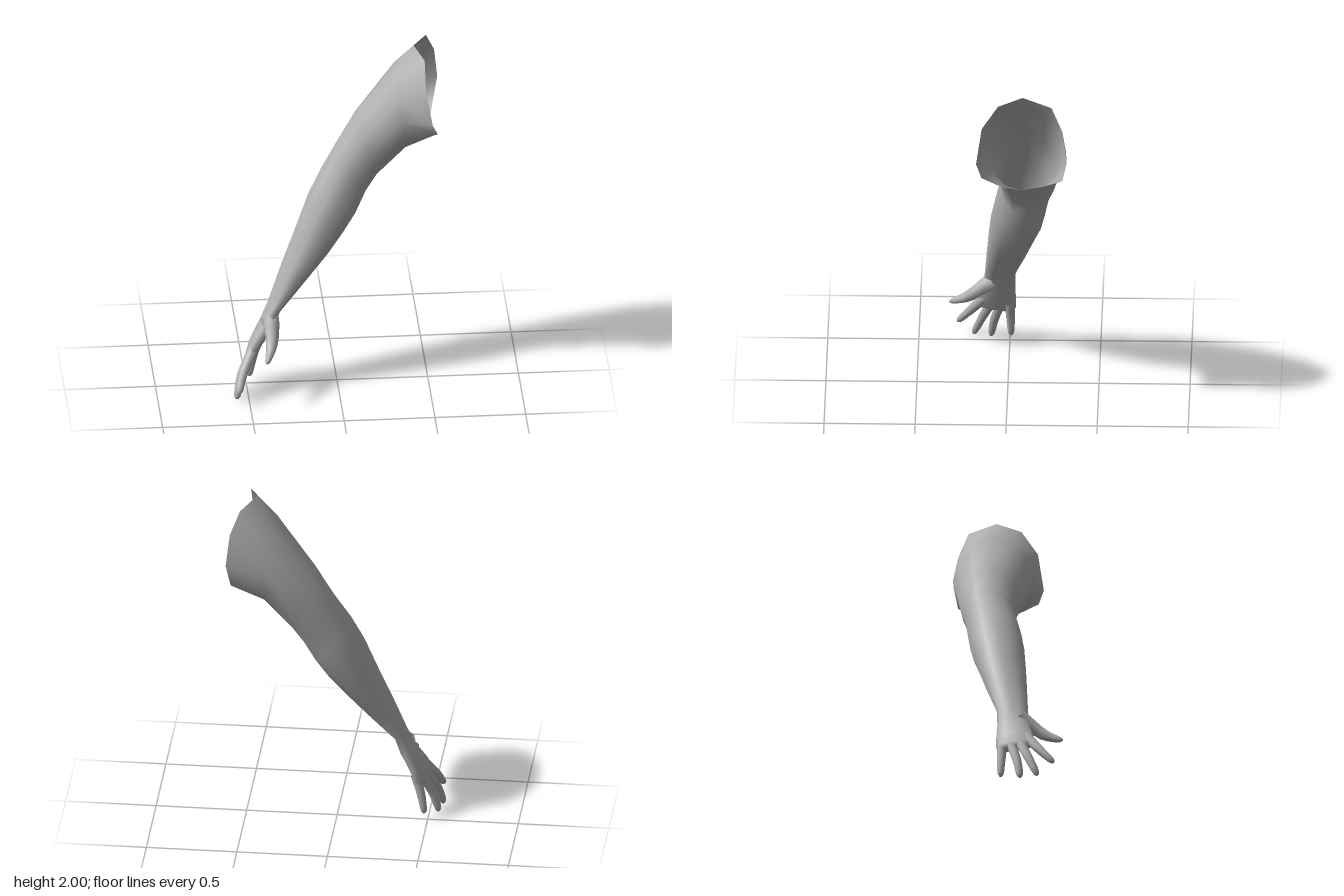
import * as THREE from 'three';

const V = (x, y, z) => new THREE.Vector3(x, y, z);
const SIDES = 12;

// Skin a list of closed rings (each an array of Vector3), optionally closing the last one
function loft(rings, cap) {
  const n = rings[0].length, pos = [], idx = [];
  rings.forEach(r => r.forEach(p => pos.push(p.x, p.y, p.z)));
  for (let i = 0; i < rings.length - 1; i++) {
    for (let k = 0; k < n; k++) {
      const a = i * n + k, b = i * n + (k + 1) % n, c = a + n, d = b + n;
      idx.push(a, c, b, b, c, d);
    }
  }
  if (cap) {
    const last = rings[rings.length - 1], base = (rings.length - 1) * n;
    const mid = last.reduce((s, p) => s.add(p), V(0, 0, 0)).divideScalar(n);
    pos.push(mid.x, mid.y, mid.z);
    for (let k = 0; k < n; k++) idx.push(base + k, rings.length * n, base + (k + 1) % n);
  }
  const g = new THREE.BufferGeometry();
  g.setAttribute('position', new THREE.Float32BufferAttribute(pos, 3));
  g.setIndex(idx);
  g.computeVertexNormals();
  return g;
}

// Limb ring from its outer point, inner point, front and back z; tilt slants x across z
function limbRing([ox, oy, ix, iy, zf, zb, tilt = 0]) {
  const ring = [], zc = (zf + zb) / 2;
  for (let k = 0; k < SIDES; k++) {
    const a = k / SIDES * Math.PI * 2, c = Math.cos(a) / 2, dz = Math.sin(a) * (zf - zb) / 2;
    ring.push(V((ox + ix) / 2 + (ox - ix) * c + tilt * dz, (oy + iy) / 2 + (oy - iy) * c, zc + dz));
  }
  return ring;
}

// Tapered finger along a curve with a rounded tip
function finger(points, r0, r1) {
  const curve = new THREE.CatmullRomCurve3(points.map(p => V(...p)));
  const rings = [[0, 1], [0.2, 1], [0.4, 1], [0.55, 1.04], [0.7, 1], [0.85, 1], [0.95, 0.85], [1, 0.45]]
    .map(([t, s]) => {
      const p = curve.getPointAt(t), d = curve.getTangentAt(t);
      const v = V(0, 0, 1).addScaledVector(d, -d.z).normalize();
      const u = d.clone().cross(v);
      const r = s * (r0 + (r1 - r0) * t);
      return Array.from({ length: 8 }, (_, k) => {
        const a = k / 8 * Math.PI * 2;
        return p.clone().addScaledVector(u, Math.cos(a) * r).addScaledVector(v, Math.sin(a) * r);
      });
    });
  return loft(rings, true);
}

export function createModel() {
  const skin = new THREE.MeshStandardMaterial({ color: 0xb0b0b0, side: THREE.DoubleSide });
  skin.name = 'greySkin';
  const model = new THREE.Group();
  model.name = 'arm';
  const add = (name, geometry, parent) => {
    const m = new THREE.Mesh(geometry, skin);
    m.name = name;
    parent.add(m);
  };

  // Uneven open edge at the shoulder
  const shoulder = [
    [0.43, 2.0, -0.09], [0.48, 1.97, 0.045], [0.48, 1.83, 0.135], [0.515, 1.63, 0.165],
    [0.545, 1.56, 0.135], [0.53, 1.5, 0.03], [0.515, 1.47, -0.085], [0.53, 1.5, -0.2],
    [0.555, 1.55, -0.31], [0.58, 1.68, -0.335], [0.56, 1.86, -0.31], [0.51, 1.98, -0.25],
  ].map(p => V(...p));

  // Upper arm, elbow, forearm, wrist and palm as one skin
  const sections = [
    [0.33, 1.87, 0.38, 1.39, 0.115, -0.325],
    [0.11, 1.58, 0.23, 1.22, 0.05, -0.28],
    [0.0, 1.40, 0.175, 1.13, 0.035, -0.24],
    [-0.09, 1.25, 0.115, 1.01, 0.075, -0.22],
    [-0.16, 1.11, 0.045, 0.905, 0.095, -0.2],
    [-0.24, 0.9, -0.045, 0.79, 0.11, -0.15],
    [-0.31, 0.72, -0.17, 0.645, 0.122, -0.1],
    [-0.385, 0.51, -0.315, 0.48, 0.135, -0.035],
    [-0.435, 0.405, -0.35, 0.385, 0.145, -0.032, -0.1],
    [-0.485, 0.31, -0.405, 0.295, 0.17, -0.035, -0.2],
    [-0.505, 0.245, -0.44, 0.225, 0.185, -0.035, -0.25],
    [-0.495, 0.215, -0.46, 0.205, 0.165, -0.02, -0.25],
  ];
  add('armAndPalm', loft([shoulder, ...sections.map(limbRing)], true), model);

  // Fingers and thumb: path, root radius, tip radius
  const hand = new THREE.Group();
  hand.name = 'fingers';
  model.add(hand);
  const digits = {
    littleFinger: [[[-0.435, 0.27, 0.0], [-0.465, 0.15, -0.005], [-0.482, 0.045, -0.007]], 0.029, 0.018],
    ringFinger: [[[-0.455, 0.26, 0.045], [-0.52, 0.12, 0.085], [-0.55, 0.005, 0.105]], 0.029, 0.02],
    middleFinger: [[[-0.465, 0.27, 0.09], [-0.54, 0.125, 0.15], [-0.567, 0.008, 0.2]], 0.03, 0.02],
    indexFinger: [[[-0.465, 0.29, 0.13], [-0.535, 0.165, 0.22], [-0.56, 0.085, 0.288]], 0.031, 0.019],
    thumb: [[[-0.375, 0.44, 0.09], [-0.37, 0.385, 0.165], [-0.38, 0.33, 0.235], [-0.41, 0.285, 0.328]], 0.05, 0.016],
  };
  for (const [name, args] of Object.entries(digits)) add(name, finger(...args), hand);

  return model;
}
